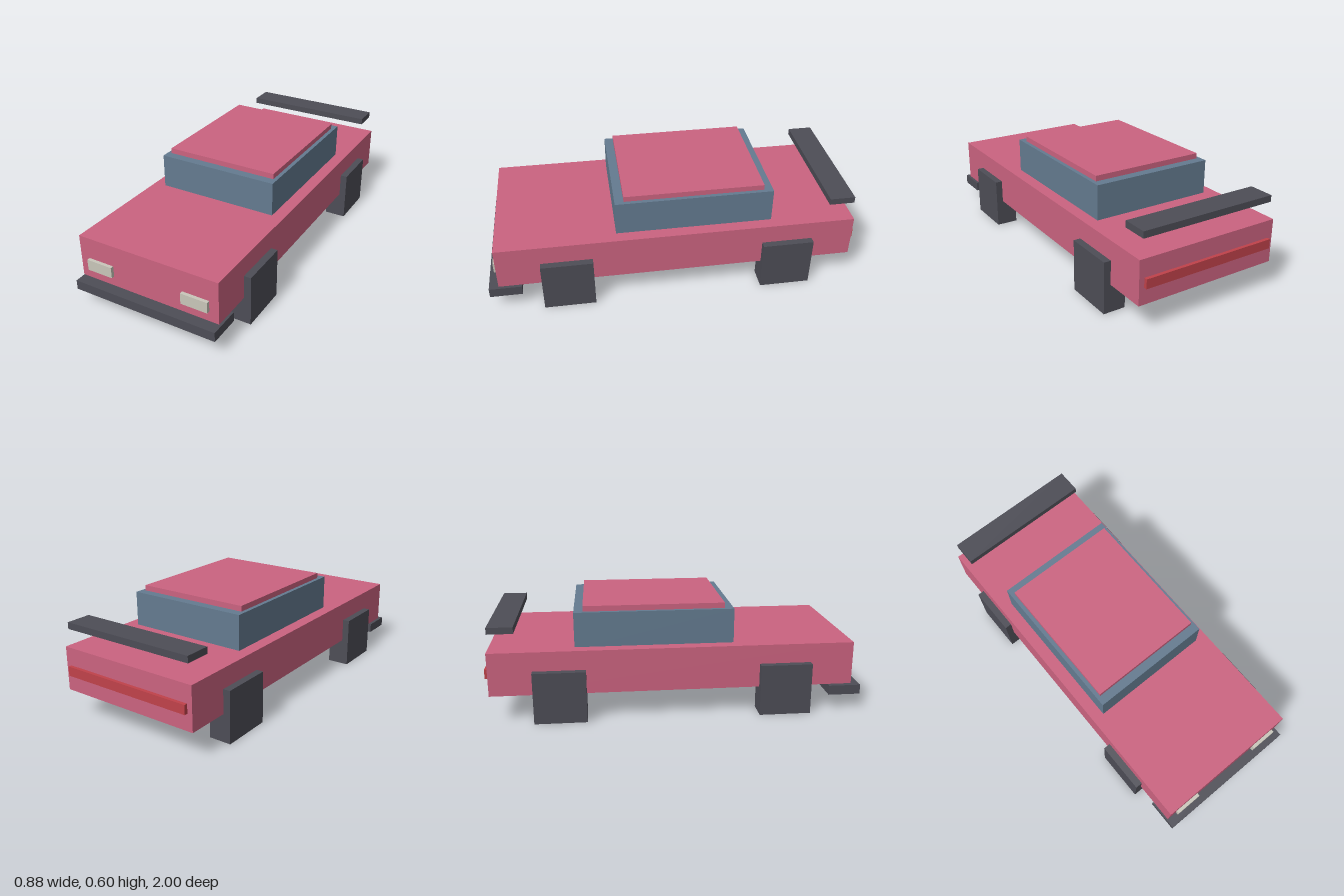
import * as THREE from 'three';

function material(name, color) {
  const m = new THREE.MeshStandardMaterial({ color });
  m.name = name;
  return m;
}

export function createModel() {
  const paint = material('rose paint', 0xcb6380);
  const glass = material('blue glass', 0x647b90);
  const dark = material('dark trim', 0x4d4d56);
  const lamp = material('headlight cream', 0xc9c6ba);
  const red = material('taillight red', 0xc0424a);

  const car = new THREE.Group();
  car.name = 'car';

  // Adds a box given its extents along each axis
  function box(name, mat, [x0, x1], [y0, y1], [z0, z1]) {
    const mesh = new THREE.Mesh(new THREE.BoxGeometry(x1 - x0, y1 - y0, z1 - z0), mat);
    mesh.position.set((x0 + x1) / 2, (y0 + y1) / 2, (z0 + z1) / 2);
    mesh.name = name;
    car.add(mesh);
  }

  // Body, cabin and roof
  box('body', paint, [-0.403, 0.403], [0.149, 0.382], [-0.982, 0.948]);
  box('cabin', glass, [-0.337, 0.337], [0.37, 0.567], [-0.535, 0.308]);
  box('roof', paint, [-0.316, 0.316], [0.555, 0.596], [-0.487, 0.26]);

  // Floating rear spoiler and low front bumper
  box('spoiler', dark, [-0.381, 0.381], [0.477, 0.512], [-0.975, -0.839]);
  box('frontBumper', dark, [-0.41, 0.41], [0.088, 0.14], [0.827, 1]);

  // Rear light bar
  box('taillight', red, [-0.375, 0.375], [0.237, 0.287], [-1, -0.965]);

  // Mirrored wheels and headlights
  for (const [side, s] of [['left', 1], ['right', -1]]) {
    const span = (a, b) => (s > 0 ? [a, b] : [-b, -a]);
    box(side + 'FrontWheel', dark, span(0.32, 0.441), [0, 0.278], [0.441, 0.718]);
    box(side + 'RearWheel', dark, span(0.32, 0.441), [0, 0.278], [-0.755, -0.478]);
    box(side + 'Headlight', lamp, span(0.203, 0.351), [0.205, 0.265], [0.935, 0.966]);
  }

  return car;
}
